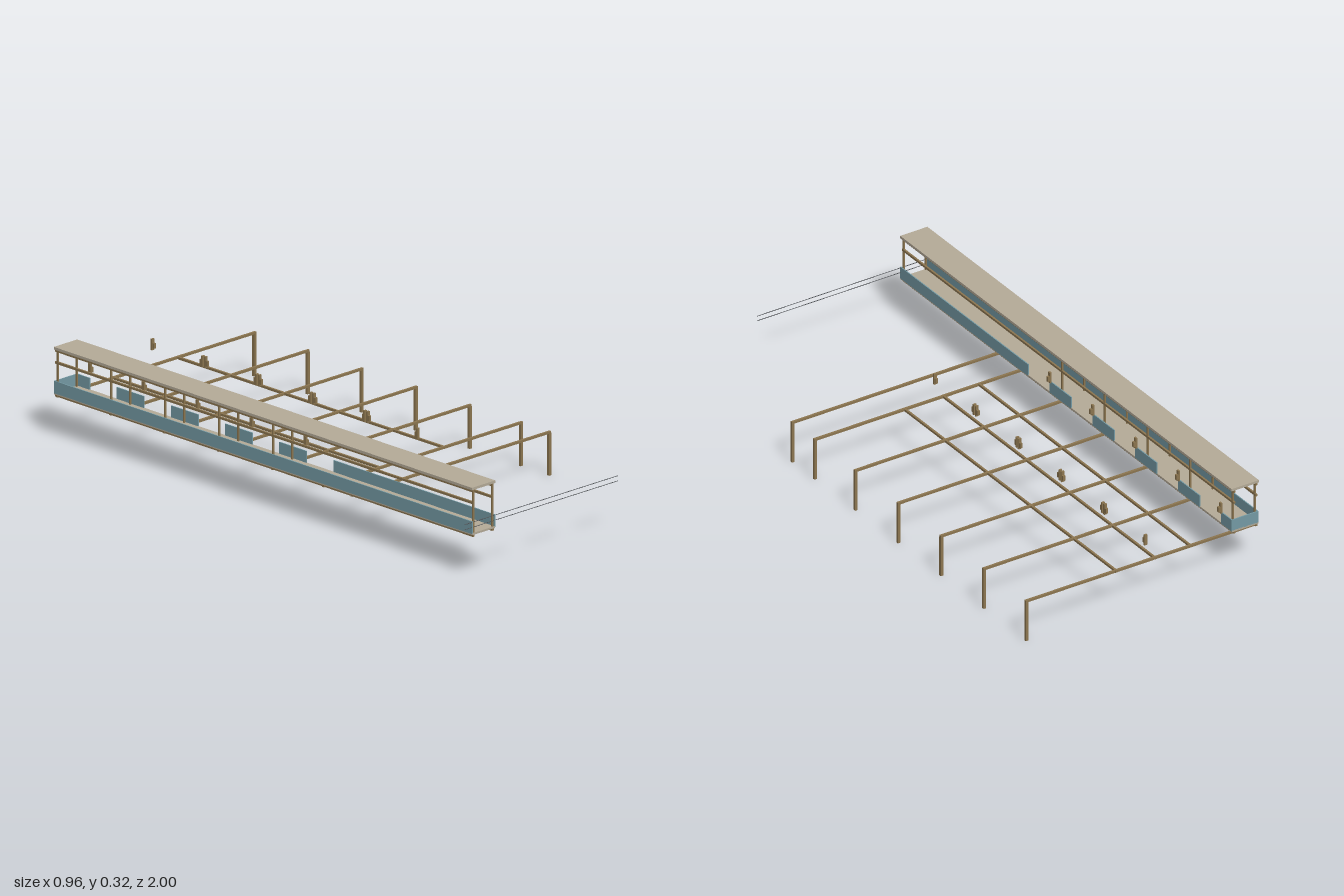
import * as THREE from 'three';

const mat = (name, color) => {
  const m = new THREE.MeshStandardMaterial({ color });
  m.name = name;
  return m;
};

export function createModel() {
  const root = new THREE.Group();
  root.name = 'walkway';
  const deck = mat('beige deck', 0xb5ab98);
  const panel = mat('blue panel', 0x759ba5);
  const frame = mat('brown frame', 0x8c7650);
  const cable = mat('grey cable', 0x55585c);

  // box given by its limits on each axis
  const box = (name, material, [x0, x1], [y0, y1], [z0, z1], parent = root) => {
    const mesh = new THREE.Mesh(new THREE.BoxGeometry(x1 - x0, y1 - y0, z1 - z0), material);
    mesh.position.set((x0 + x1) / 2, (y0 + y1) / 2, (z0 + z1) / 2);
    mesh.name = name;
    parent.add(mesh);
    return mesh;
  };
  const around = (c, w) => [c - w / 2, c + w / 2];

  const bays = [-0.99, -0.735, -0.477, -0.218, 0.04];
  const full = [-1, 1];

  // covered walkway: floor and roof
  box('floor', deck, [-0.448, -0.342], [0.156, 0.163], full);
  box('roof', deck, [-0.45, -0.341], [0.315, 0.324], full);

  // rails and posts on both sides
  for (const x of [-0.441, -0.352]) {
    box('topRail', frame, around(x, 0.007), [0.306, 0.315], full);
    box('handRail', frame, around(x, 0.007), [0.264, 0.272], full);
    box('edgeBeam', frame, around(x, 0.008), [0.149, 0.156], full);
    for (const z of [...bays, 0.996]) {
      box('post', frame, around(x, 0.006), [0.163, 0.306], around(z, 0.006));
    }
  }

  // side panels: closed outer side, openings on the inner side
  const wall = [0.16, 0.204];
  box('outerPanel', panel, [-0.449, -0.445], wall, full);
  box('endPanel', panel, [-0.445, -0.345], wall, [-1, -0.996]);
  box('innerPanelLong', panel, [-0.345, -0.341], wall, [0.23, 1]);
  for (let i = 0; i < 5; i++) {
    const z = 0.1 - i * 0.259;
    box('innerPanel', panel, [-0.345, -0.341], wall, [Math.max(-1, z - 0.13), z]);
  }

  // cross beams with a column at the free end
  for (const z of [...bays, 0.285, 0.42]) {
    box('crossBeam', frame, [-0.447, 0.48], [0.148, 0.156], around(z, 0.009));
    box('column', frame, [0.47, 0.48], [0, 0.15], around(z, 0.01));
  }

  // beams running lengthwise
  for (const x of [-0.182, -0.039, 0.116]) {
    box('lengthBeam', frame, around(x, 0.008), [0.148, 0.156], [-0.995, 0.289]);
  }

  // small fittings: a tall plate with a short block on its outer face
  const fitting = (x, z, angle) => {
    const g = new THREE.Group();
    g.name = 'fitting';
    box('plate', frame, around(0, 0.011), [0.21, 0.25], [0, 0.007], g);
    box('block', frame, around(0, 0.009), [0.217, 0.236], [0.007, 0.015], g);
    g.position.set(x, 0, z);
    g.rotation.y = angle;
    root.add(g);
  };
  bays.forEach((z, i) => {
    fitting(-0.006, z + 0.003, 0);
    if (i > 0) fitting(-0.006, z - 0.003, Math.PI);
    fitting(-0.335, z + 0.042, Math.PI / 2);
  });
  fitting(-0.006, 0.289, Math.PI);

  // two cables across the front end
  for (const y of [0.183, 0.201]) {
    const c = new THREE.Mesh(new THREE.CylinderGeometry(0.0012, 0.0012, 0.715, 8), cable);
    c.rotation.z = Math.PI / 2;
    c.position.set(-0.125, y, 0.998);
    c.name = 'cable';
    root.add(c);
  }
  return root;
}
